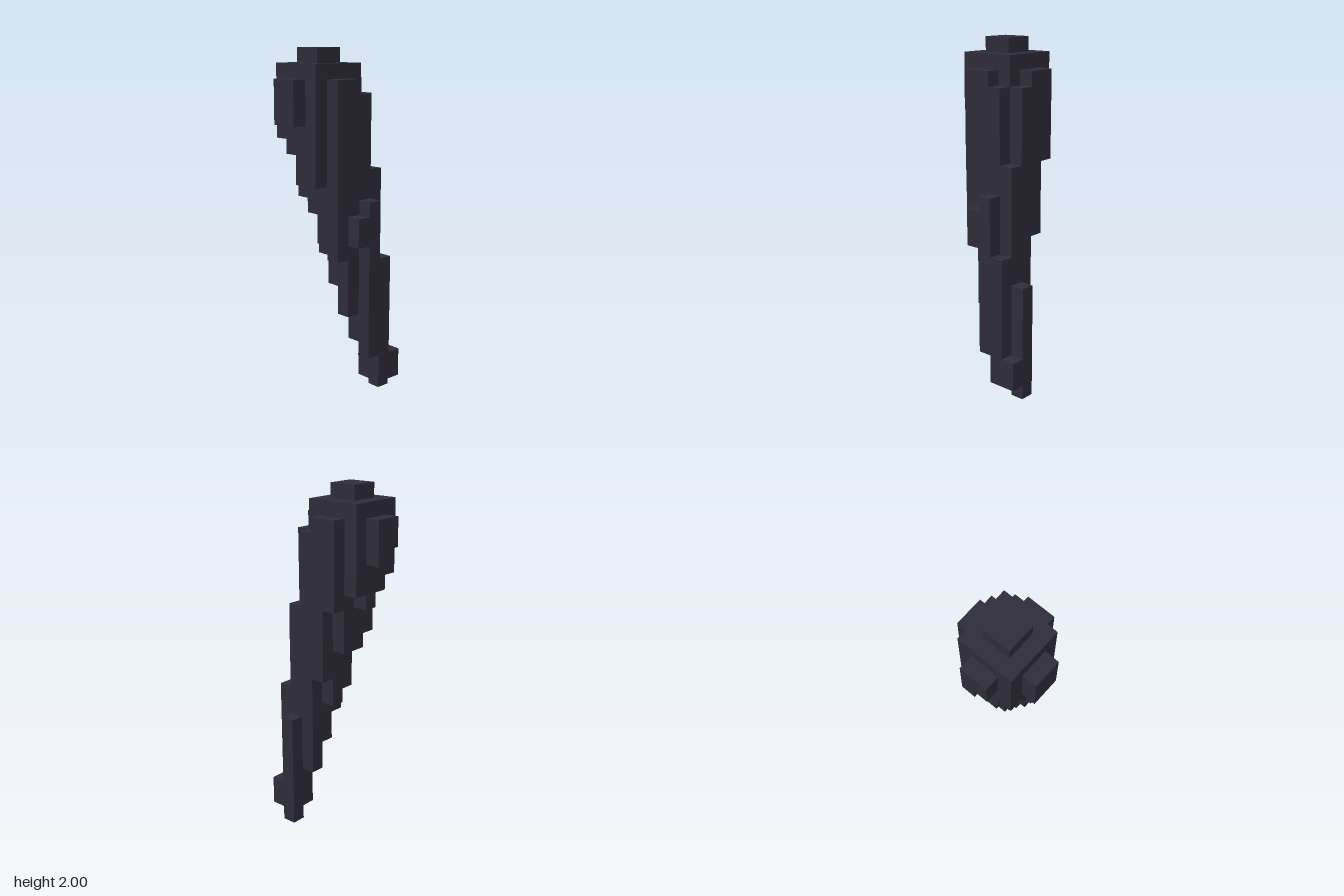
import * as THREE from 'three';
import { mergeGeometries } from 'three/addons/utils/BufferGeometryUtils.js';

const UNIT = 1 / 12; // edge of one block
const _ = null;      // empty column

// Bottom and top height of each block column; rows run back to front, entries from -x to +x
const BOTTOM = [
  [_, _, 20, 19, _, _, _],
  [_, 18, 17, 16, 17, _, _],
  [19, 17, 14, 13, 13, 16, _],
  [19, 15, 13, 10, 9, 11, _],
  [_, 15, 11, 8, 6, 4, _],
  [_, _, 10, 6, 4, 1, 0],
  [_, _, _, 11, 3, 1, 1],
];
const TOP = [
  [_, _, 22, 22, _, _, _],
  [_, 23, 23, 23, 23, _, _],
  [22, 23, 24, 24, 23, 22, _],
  [22, 23, 24, 24, 23, 22, _],
  [_, 23, 23, 23, 23, 21, _],
  [_, _, 22, 22, 21, 16, 8],
  [_, _, _, 13, 14, 10, 3],
];
const SIDES = [[1, 0], [-1, 0], [0, 1], [0, -1]];

function column(x, z) {
  const lo = BOTTOM[z]?.[x] ?? null;
  return lo === null ? null : [lo, TOP[z][x]];
}

// Outer faces of the leaning, tapering stack of columns
function buildHorn() {
  const faces = [];
  for (let z = 0; z < 7; z++) for (let x = 0; x < 7; x++) {
    const here = column(x, z);
    if (!here) continue;
    const [lo, hi] = here;
    const cx = x - 3, cz = z - 3;

    // Cap and underside
    faces.push(new THREE.PlaneGeometry(1, 1).rotateX(-Math.PI / 2).translate(cx, hi, cz));
    faces.push(new THREE.PlaneGeometry(1, 1).rotateX(Math.PI / 2).translate(cx, lo, cz));

    // Side walls, only where the neighbouring column leaves them exposed
    for (const [dx, dz] of SIDES) {
      const [nLo, nHi] = column(x + dx, z + dz) ?? [hi, hi];
      for (const [a, b] of [[lo, Math.min(hi, nLo)], [Math.max(lo, nHi), hi]]) {
        if (b <= a) continue;
        faces.push(new THREE.PlaneGeometry(1, b - a)
          .rotateY(Math.atan2(dx, dz))
          .translate(cx + dx / 2, (a + b) / 2, cz + dz / 2));
      }
    }
  }
  return mergeGeometries(faces).scale(UNIT, UNIT, UNIT);
}

export function createModel() {
  const group = new THREE.Group();
  group.name = 'blockHorn';
  const charcoal = new THREE.MeshStandardMaterial({ color: 0x2e2c3a });
  charcoal.name = 'charcoal';
  const horn = new THREE.Mesh(buildHorn(), charcoal);
  horn.name = 'horn';
  group.add(horn);
  return group;
}
